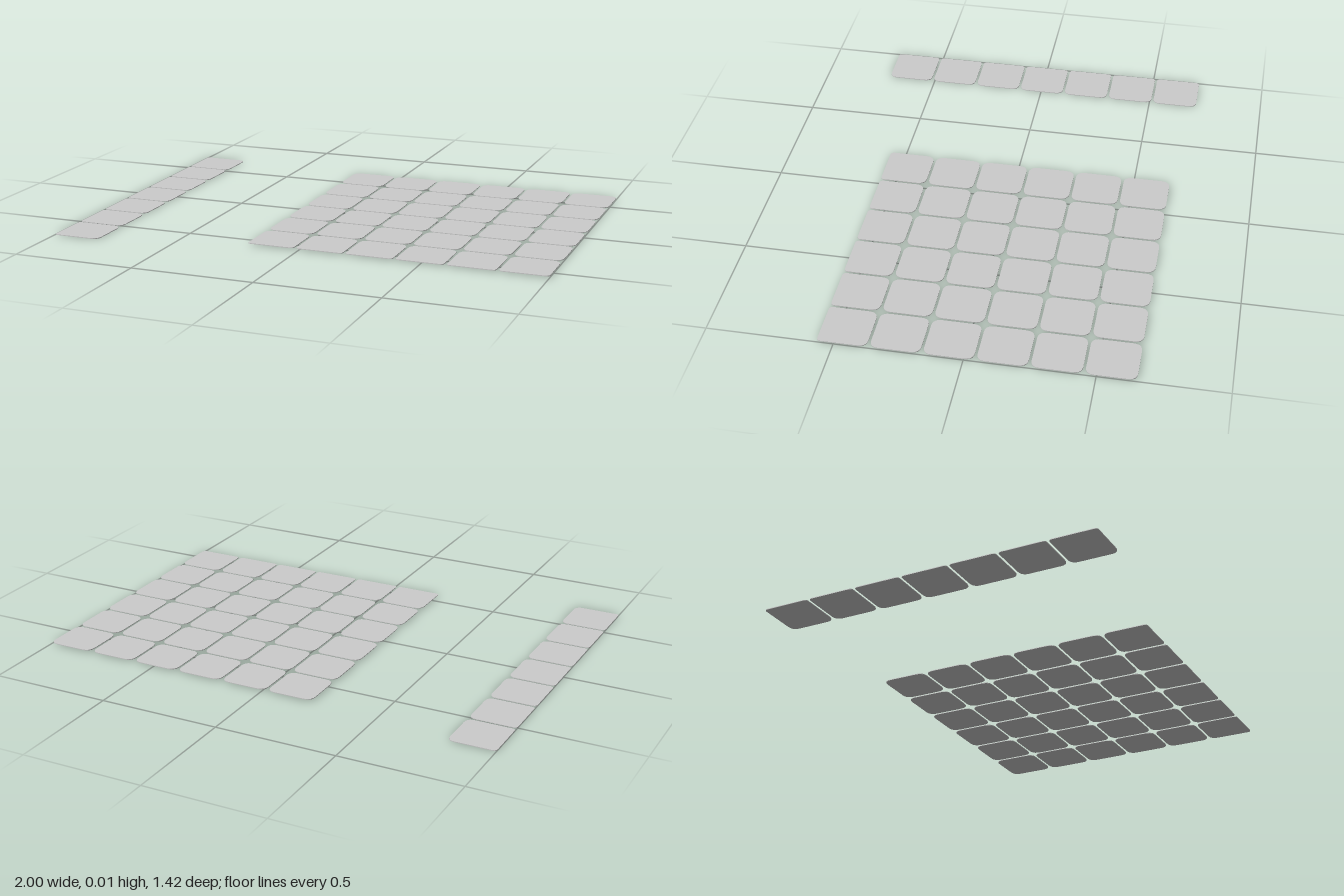
import * as THREE from 'three';

const SIZE = 0.194, PITCH = 0.2046, THICK = 0.003;
const material = new THREE.MeshStandardMaterial({ color: 0xcccccc, side: THREE.DoubleSide });

// Thin square tile lying flat; radii order: back-left, back-right, front-right, front-left (seen from above)
function tileGeometry(bl, br, fr, fl) {
  const h = SIZE / 2;
  const s = new THREE.Shape();
  s.moveTo(-h + fl, -h);
  s.lineTo(h - fr, -h);
  s.quadraticCurveTo(h, -h, h, -h + fr);
  s.lineTo(h, h - br);
  s.quadraticCurveTo(h, h, h - br, h);
  s.lineTo(-h + bl, h);
  s.quadraticCurveTo(-h, h, -h, h - bl);
  s.lineTo(-h, -h + fl);
  s.quadraticCurveTo(-h, -h, -h + fl, -h);
  return new THREE.ExtrudeGeometry(s, { depth: THICK, bevelEnabled: false, curveSegments: 5 })
    .rotateX(-Math.PI / 2);
}

// Rows and columns of tiles, starting from the back-left tile centre
function tileField(name, columns, rows, x0, y, z0, pick) {
  const field = new THREE.Group();
  field.name = name;
  for (let r = 0; r < rows; r++) {
    for (let c = 0; c < columns; c++) {
      const tile = new THREE.Mesh(pick(r), material);
      tile.name = 'tile';
      tile.position.set(x0 + c * PITCH, y, z0 + r * PITCH);
      field.add(tile);
    }
  }
  return field;
}

export function createModel() {
  const model = new THREE.Group();
  model.name = 'tileSet';

  const rounded = tileGeometry(0.036, 0.036, 0.036, 0.036);
  const frontEdge = tileGeometry(0.036, 0.036, 0.016, 0.016);
  const stripTile = tileGeometry(0.016, 0.032, 0.032, 0.016);

  // Square field of tiles, slightly raised
  model.add(tileField('tileGrid', 6, 6, 0.903 - 5 * PITCH, 0.005, -0.555,
    (row) => (row === 5 ? frontEdge : rounded)));

  // Separate single column of tiles on the ground
  model.add(tileField('tileStrip', 1, 7, -0.903, 0, -3 * PITCH, () => stripTile));

  return model;
}
